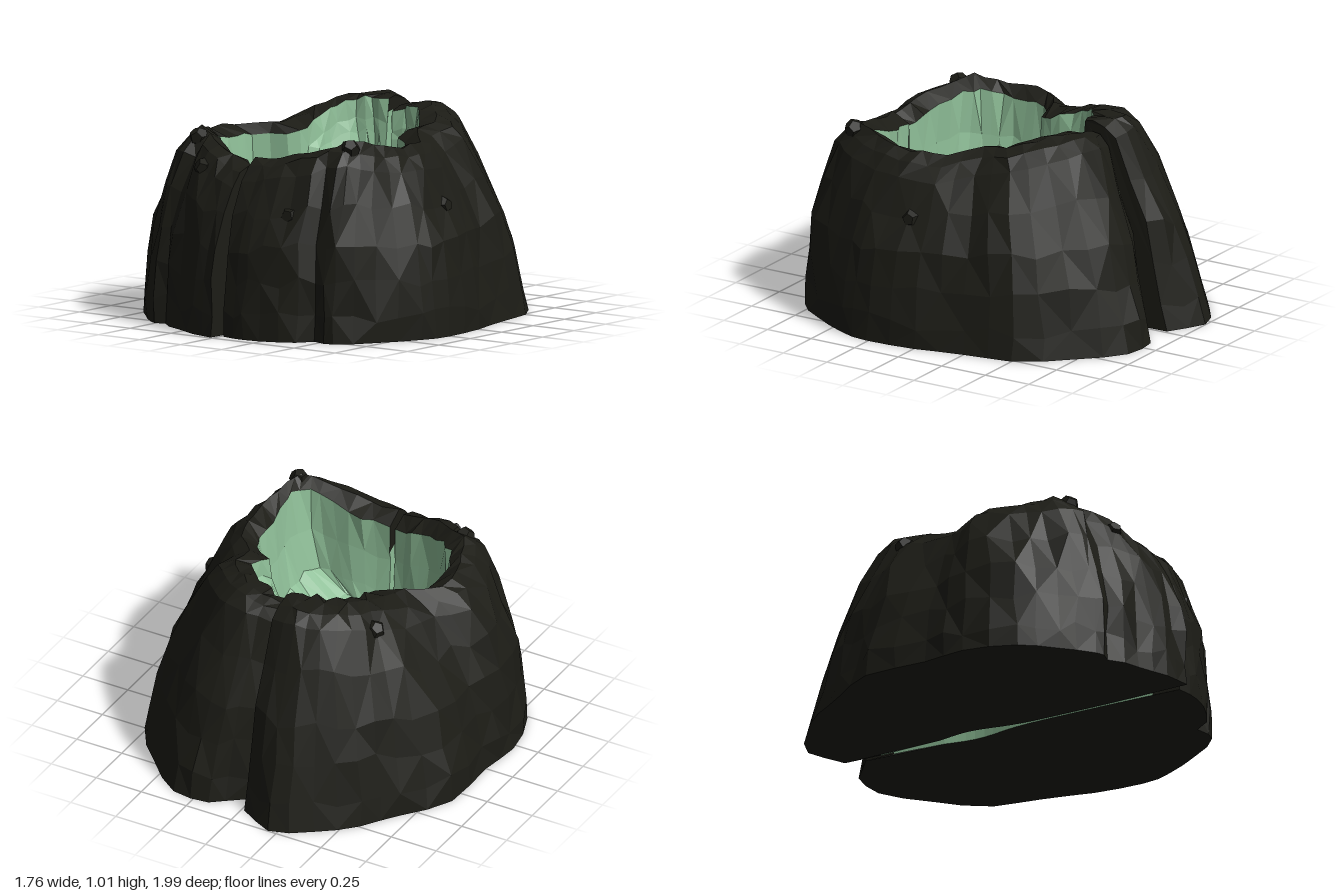
import * as THREE from 'three';

const ROCK = new THREE.MeshStandardMaterial({ color: 0x1c1c16, flatShading: true, side: THREE.DoubleSide });
const CRYSTAL = new THREE.MeshStandardMaterial({ color: 0x8fbf98, flatShading: true, side: THREE.DoubleSide });

// Stations from the front seam round the side to the back seam:
// base x, base z, opening x, opening z, rim height
const LEFT = [
  [0.03, 0.93, 0.03, 0.58, 0.84], [0.15, 0.95, 0.15, 0.55, 0.86], [0.33, 0.91, 0.3, 0.54, 0.9],
  [0.48, 0.82, 0.44, 0.53, 0.94], [0.59, 0.8, 0.48, 0.44, 0.96], [0.72, 0.64, 0.49, 0.35, 0.92],
  [0.84, 0.43, 0.48, 0.25, 0.9], [0.88, 0.26, 0.47, 0.12, 0.89], [0.86, 0, 0.45, 0.03, 0.89],
  [0.8, -0.25, 0.31, -0.08, 0.92], [0.76, -0.5, 0.34, -0.19, 0.95], [0.58, -0.74, 0.27, -0.3, 0.98],
  [0.37, -0.92, 0.19, -0.38, 0.99], [0.17, -0.92, 0.1, -0.42, 0.98], [0.04, -0.8, 0.04, -0.42, 0.96],
];
const RIGHT = [
  [0.015, 0.99, 0.02, 0.6, 0.82], [0.15, 0.95, 0.12, 0.57, 0.84], [0.3, 0.88, 0.23, 0.55, 0.88],
  [0.46, 0.81, 0.34, 0.48, 0.92], [0.55, 0.77, 0.42, 0.42, 0.93], [0.68, 0.64, 0.46, 0.32, 0.91],
  [0.81, 0.48, 0.47, 0.2, 0.89], [0.88, 0.22, 0.46, 0.09, 0.89], [0.85, 0, 0.3, 0, 0.89],
  [0.85, -0.33, 0.25, -0.08, 0.91], [0.7, -0.56, 0.26, -0.2, 0.95], [0.57, -0.74, 0.24, -0.3, 0.98],
  [0.4, -0.9, 0.18, -0.38, 1], [0.2, -1, 0.1, -0.41, 1.01], [0.03, -0.9, 0.03, -0.42, 1],
];
// Outer wall: blend from base to opening, fraction of rim height
const WALL = [[0, 0], [0.02, 0.13], [0.08, 0.32], [0.16, 0.5], [0.33, 0.7], [0.52, 0.88], [0.66, 0.96], [0.82, 1], [1, 0.95]];
// Hollow: steep side, then a gently sloping floor down to the split
const HOLLOW = [[0.06, 0.72], [0.16, 0.5], [0.5, 0.39], [1, 0.32]];
const COLUMNS = 28;
const RIM = WALL.length - 1;

function makeRandom(seed) {
  return () => {
    seed = (seed * 16807) % 2147483647;
    return seed / 2147483647 - 0.5;
  };
}

// Half width of the split: a wide slot behind the middle, flaring at both ends
function seamGap(z) {
  const slot = 0.04 * Math.exp(-(((z + 0.2) / 0.18) ** 2));
  return 0.006 + slot + 0.03 * Math.max(0, Math.abs(z) - 0.62);
}

// Grid of points [column][level] for one half, always on the positive x side
function buildGrid(rows, rand) {
  const base = new THREE.CatmullRomCurve3(rows.map((r) => new THREE.Vector3(r[0], 0, r[1])), false, 'centripetal');
  const rim = new THREE.CatmullRomCurve3(rows.map((r) => new THREE.Vector3(r[2], r[4], r[3])), false, 'centripetal');
  const grid = [];
  for (let i = 0; i <= COLUMNS; i++) {
    const t = i / COLUMNS;
    const b = base.getPoint(t);
    const o = rim.getPoint(t);
    const groove = i === 6 ? 0.965 : 1;
    // the front bulges out, the back leans in below a square shoulder
    const lean = 1 + 0.29 * b.z;
    const shoulder = Math.max(0, -b.z);
    const column = WALL.map(([m, h], k) => {
      const s = m ** lean;
      const y = o.y * (h + shoulder * h ** 5 * (1 - h));
      const p = new THREE.Vector3(b.x + (o.x - b.x) * s, y, b.z + (o.z - b.z) * s);
      if (k < 7) { p.x *= groove; p.z *= groove; }
      const rough = k === 0 ? 0.01 : 0.024;
      p.x += rand() * rough;
      p.z += rand() * rough;
      if (k > 0) p.y += rand() * (k < 5 ? 0.06 : 0.02);
      return p;
    });
    const fz = o.z * 0.9 + 0.01;
    const fx = seamGap(fz);
    // the narrow back of the hollow slopes straight down to the split
    const steep = THREE.MathUtils.smoothstep(-o.z, -0.02, 0.12);
    for (const [m, h] of HOLLOW) {
      const wobble = m < 1 ? 0.02 : 0;
      const y = o.y * THREE.MathUtils.lerp(h, 0.92 - 0.6 * m, steep);
      column.push(new THREE.Vector3(
        o.x + (fx - o.x) * m + rand() * wobble, y + rand() * 0.03, o.z + (fz - o.z) * m + rand() * wobble));
    }
    column.push(new THREE.Vector3(fx, 0, fz));
    // keep each half on its own side of the split
    for (const p of column) {
      const gap = seamGap(p.z);
      p.x = i === 0 || i === COLUMNS ? gap : Math.max(p.x, gap);
    }
    grid.push(column);
  }
  return grid;
}

function meshFrom(name, triangles, side, material) {
  const out = [];
  for (const [a, b, c] of triangles) {
    for (const p of side > 0 ? [a, b, c] : [a, c, b]) out.push(p.x * side, p.y, p.z);
  }
  const geometry = new THREE.BufferGeometry();
  geometry.setAttribute('position', new THREE.Float32BufferAttribute(out, 3));
  geometry.computeVertexNormals();
  const mesh = new THREE.Mesh(geometry, material);
  mesh.name = name;
  return mesh;
}

// Quads between neighbouring columns for a range of levels, wrapping at the end
function strip(grid, from, to) {
  const tris = [];
  for (let i = 0; i < COLUMNS; i++) {
    for (let k = from; k < to; k++) {
      const n = (k + 1) % grid[0].length;
      const a = grid[i][k], b = grid[i + 1][k], c = grid[i + 1][n], d = grid[i][n];
      if ((i + k) % 2) tris.push([a, b, c], [a, c, d]);
      else tris.push([a, b, d], [b, c, d]);
    }
  }
  return tris;
}

// Triangles of a flat outline on the seam, turned to face the other half
function seamFace(outline) {
  const flat = outline.map((p) => new THREE.Vector2(p.z, p.y));
  return THREE.ShapeUtils.triangulateShape(flat, []).map((f) => {
    const [a, b, c] = f.map((j) => outline[j]);
    const facing = (b.y - a.y) * (c.z - a.z) - (b.z - a.z) * (c.y - a.y);
    return facing < 0 ? [a, b, c] : [a, c, b];
  });
}

// Seam at one end of a half: a dark rock rind around a crystal core
function addSeam(half, name, column, side) {
  const rind = column.slice(0, RIM + 1);
  const inner = rind.map((p, k) => {
    const q = p.clone().lerp(column[RIM + 2], 0.4);
    if (k === 0) q.y = 0;
    q.x = seamGap(q.z);
    return q;
  });
  const core = [...inner, ...column.slice(RIM + 1)];
  half.add(meshFrom(name + 'Rind', seamFace([...rind, ...[...inner].reverse()]), side, ROCK));
  half.add(meshFrom(name + 'Core', seamFace(core), side, CRYSTAL));
}

function buildHalf(name, rows, side, seed, knobs) {
  const rand = makeRandom(seed);
  const grid = buildGrid(rows, rand);
  const last = grid[0].length - 1;
  const half = new THREE.Group();
  half.name = name;
  half.add(meshFrom('outerRock', strip(grid, 0, RIM), side, ROCK));
  half.add(meshFrom('crystalHollow', strip(grid, RIM, last), side, CRYSTAL));
  half.add(meshFrom('flatBase', strip(grid, last, last + 1), side, ROCK));
  addSeam(half, 'frontSeam', grid[0], side);
  addSeam(half, 'backSeam', grid[COLUMNS], side);

  // worn knobs sunk into the outer wall: column, level, size
  for (const [i, k, size] of knobs) {
    const knob = new THREE.Mesh(new THREE.DodecahedronGeometry(size, 0), ROCK);
    knob.name = 'rockKnob';
    const p = grid[i][k];
    knob.position.set(p.x * 0.965 * side, p.y, p.z * 0.965);
    knob.rotation.set(rand() * 3, rand() * 3, 0);
    half.add(knob);
  }
  return half;
}

export function createModel() {
  const model = new THREE.Group();
  model.name = 'splitGeode';
  model.add(buildHalf('leftHalf', LEFT, 1, 71, [[4, 4, 0.05], [8, 6, 0.05], [15, 4, 0.05]]));
  model.add(buildHalf('rightHalf', RIGHT, -1, 1934, [[4, 5, 0.05], [7, 6, 0.05], [20, 5, 0.05]]));
  return model;
}
